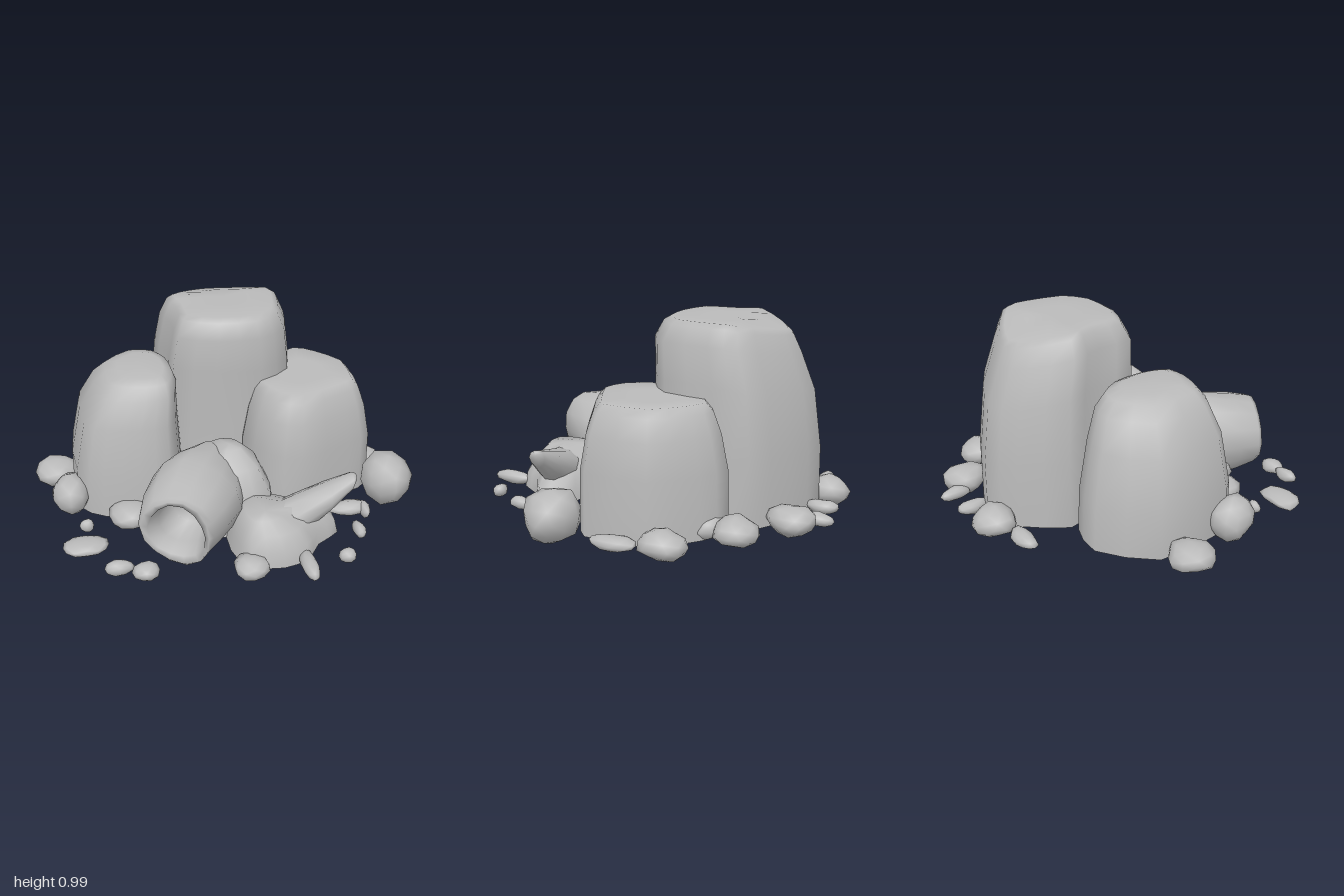
import * as THREE from 'three';
import { mergeVertices } from 'three/addons/utils/BufferGeometryUtils.js';

const stone = new THREE.MeshStandardMaterial({ color: 0xbababa, side: THREE.DoubleSide });
stone.name = 'grey stone';

// Smooth skin over a stack of equal-sized rings, closed at the last ring by a tip point
function loft(rings, tip) {
  const n = rings[0].length, pos = [], idx = [];
  rings.forEach(r => r.forEach(p => pos.push(p.x, p.y, p.z)));
  pos.push(tip.x, tip.y, tip.z);
  for (let j = 0; j < rings.length; j++) {
    for (let i = 0; i < n; i++) {
      const a = j * n + i, b = j * n + (i + 1) % n;
      if (j < rings.length - 1) idx.push(a, a + n, b, b, a + n, b + n);
      else idx.push(a, rings.length * n, b);
    }
  }
  const g = new THREE.BufferGeometry();
  g.setAttribute('position', new THREE.Float32BufferAttribute(pos, 3));
  g.setIndex(idx);
  g.computeVertexNormals();
  return g;
}

// Hollow boulder: ground outline [x, z], levels [y, scale, shift x, shift z], optional top slope
function boulder(outline, cx, cz, levels, slope = () => 0) {
  const curve = new THREE.CatmullRomCurve3(
    outline.map(([x, z]) => new THREE.Vector3(x, 0, z)), true, 'catmullrom', 0.3);
  const count = outline.length * 2;
  const base = Array.from({ length: count }, (_, i) => curve.getPoint(i / count));
  const rings = levels.map(([y, s, dx = 0, dz = 0]) => base.map(p => {
    const x = cx + (p.x - cx) * s + dx, z = cz + (p.z - cz) * s + dz;
    return new THREE.Vector3(x, y - slope(z) * y, z);
  }));
  const [y, , dx = 0, dz = 0] = levels[levels.length - 1];
  return loft(rings, new THREE.Vector3(cx + dx, y, cz + dz));
}

// Round body with upright rings [x, y, z, radius] facing along a horizontal heading
function trunk(list, hx, hz, n) {
  const rings = list.map(([x, y, z, r], j) => Array.from({ length: n }, (_, i) => {
    const a = i / n * Math.PI * 2, k = r * (1 + 0.05 * Math.sin(3 * a + j));
    return new THREE.Vector3(
      x + hz * Math.cos(a) * k, Math.max(0.04, y - Math.sin(a) * k), z - hx * Math.cos(a) * k);
  }));
  const [x, y, z] = list[list.length - 1];
  return loft(rings, new THREE.Vector3(x, y, z));
}

// Lumpy small stone, varied by its seed
function pebble(rx, ry, rz, seed) {
  let g = new THREE.IcosahedronGeometry(1, 1);
  g.deleteAttribute('uv');
  g.deleteAttribute('normal');
  g = mergeVertices(g, 1e-3);
  const p = g.attributes.position, v = new THREE.Vector3();
  for (let i = 0; i < p.count; i++) {
    v.fromBufferAttribute(p, i);
    const k = 1 + 0.08 * Math.sin(3 * v.x + seed * 1.7) + 0.08 * Math.sin(4 * v.z + seed * 2.9 + v.y * 2);
    p.setXYZ(i, v.x * rx * k, v.y * ry * k, v.z * rz * k);
  }
  g.computeVertexNormals();
  return g;
}

export function createModel() {
  const model = new THREE.Group();
  model.name = 'rockPile';
  const add = (name, geometry) => {
    const mesh = new THREE.Mesh(geometry, stone);
    mesh.name = name;
    model.add(mesh);
    return mesh;
  };

  // Three large boulders
  add('tallBoulder', boulder(
    [[0, -0.79], [0.22, -0.7], [0.44, -0.55], [0.45, -0.38], [0.39, -0.1], [0.22, 0.02],
      [-0.03, 0.02], [-0.26, -0.08], [-0.27, -0.3], [-0.32, -0.5], [-0.16, -0.7]],
    0.07, -0.4,
    [[0.04, 1], [0.4, 0.99], [0.72, 0.94, 0, 0.02], [0.9, 0.86, 0, 0.06], [0.98, 0.76, 0, 0.06],
      [1, 0.68, 0, 0.06], [1, 0.35, 0, 0.06]],
    z => 0.3 * Math.max(0, -0.42 - z)));
  add('leftBoulder', boulder(
    [[-0.55, -0.52], [-0.35, -0.48], [-0.24, -0.3], [-0.21, -0.05], [-0.24, 0.12], [-0.3, 0.23],
      [-0.46, 0.25], [-0.65, 0.21], [-0.78, 0.1], [-0.79, -0.31]],
    -0.5, -0.13,
    [[0.04, 1], [0.27, 0.98], [0.53, 0.86, 0.02, 0.01], [0.67, 0.72, 0.06, 0.02], [0.73, 0.58, 0.08, 0.03],
      [0.75, 0.4, 0.09, 0.04]]));
  add('rightBoulder', boulder(
    [[0.48, -0.47], [0.63, -0.38], [0.79, -0.18], [0.78, 0.14], [0.65, 0.22], [0.36, 0.33],
      [0.2, 0.26], [0.1, 0.05], [0.2, -0.3]],
    0.45, -0.07,
    [[0.04, 1], [0.35, 0.98], [0.52, 0.89], [0.62, 0.79], [0.66, 0.69], [0.66, 0.35]]));

  // Low stone joining the front rocks to the boulders
  add('middleRock', boulder(
    [[-0.2, 0], [0.05, 0], [0.22, 0.2], [0.2, 0.45], [0, 0.5], [-0.2, 0.45]],
    0, 0.22, [[0.04, 1], [0.22, 0.88], [0.35, 0.6], [0.42, 0.25]]));

  // Hollow rock: outer body, rim, then the recess
  const hx = -0.45, hz = 0.89;
  add('hollowRock', trunk(
    [[0.6, 0.15], [0.45, 0.2], [0.28, 0.235], [0.12, 0.215], [0.02, 0.19], [0, 0.175],
      [0.01, 0.145], [0.1, 0.125], [0.24, 0.1]].map(([t, r]) => [-0.34 - hx * t, 0.24, 0.68 - hz * t, r]),
    hx, hz, 14));

  // Low front rock with a raised pointed arm
  add('frontRock', boulder(
    [[0.1, 0.25], [0.3, 0.35], [0.48, 0.42], [0.5, 0.55], [0.38, 0.63], [0.3, 0.74],
      [0.17, 0.78], [0, 0.75], [-0.06, 0.6], [-0.05, 0.4]],
    0.17, 0.56, [[0.04, 1], [0.12, 0.94], [0.19, 0.75, -0.02], [0.25, 0.4, -0.06, 0.03]]));
  add('frontRockArm', trunk(
    [[0.03, 0.11, 0.57, 0.05], [0.12, 0.12, 0.56, 0.11], [0.28, 0.16, 0.53, 0.11],
      [0.45, 0.24, 0.51, 0.08], [0.57, 0.31, 0.5, 0.045], [0.59, 0.33, 0.5, 0.02]], 1, 0, 10));

  // Round stones around the foot: x, z, radius, top
  [
    [-0.12, -0.81, 0.11, 0.17], [0.35, -0.74, 0.115, 0.16], [0.58, -0.53, 0.11, 0.16],
    [0.53, -0.38, 0.1, 0.15], [0.81, -0.27, 0.11, 0.15], [0.85, 0.27, 0.143, 0.28],
    [0.01, 0.78, 0.085, 0.13], [-0.49, 0.71, 0.06, 0.1], [-0.82, 0.1, 0.11, 0.24],
    [-0.88, -0.21, 0.12, 0.15], [-0.52, 0.28, 0.11, 0.16], [-0.35, 0.36, 0.13, 0.2]
  ].forEach(([x, z, r, top], i) => {
    add('roundStone' + (i + 1), pebble(r, (top - 0.02) / 2, r, i)).position.set(x, (top + 0.02) / 2, z);
  });

  // Flat slivers and chips: x, z, radius x, radius z
  [
    [-0.31, -0.76, 0.1, 0.05], [0.09, -0.83, 0.045, 0.08], [0.26, -0.84, 0.04, 0.08],
    [0.86, -0.05, 0.055, 0.13], [0.6, 0.4, 0.12, 0.05], [0.68, 0.43, 0.03, 0.06],
    [0.6, 0.59, 0.03, 0.06], [0.48, 0.78, 0.04, 0.04], [0.28, 0.82, 0.045, 0.1],
    [-0.61, 0.68, 0.07, 0.04], [-0.76, 0.49, 0.11, 0.075], [-0.75, 0.32, 0.035, 0.03]
  ].forEach(([x, z, rx, rz], i) => {
    add('flatStone' + (i + 1), pebble(rx, 0.035, rz, i)).position.set(x, 0.075, z);
  });

  return model;
}
